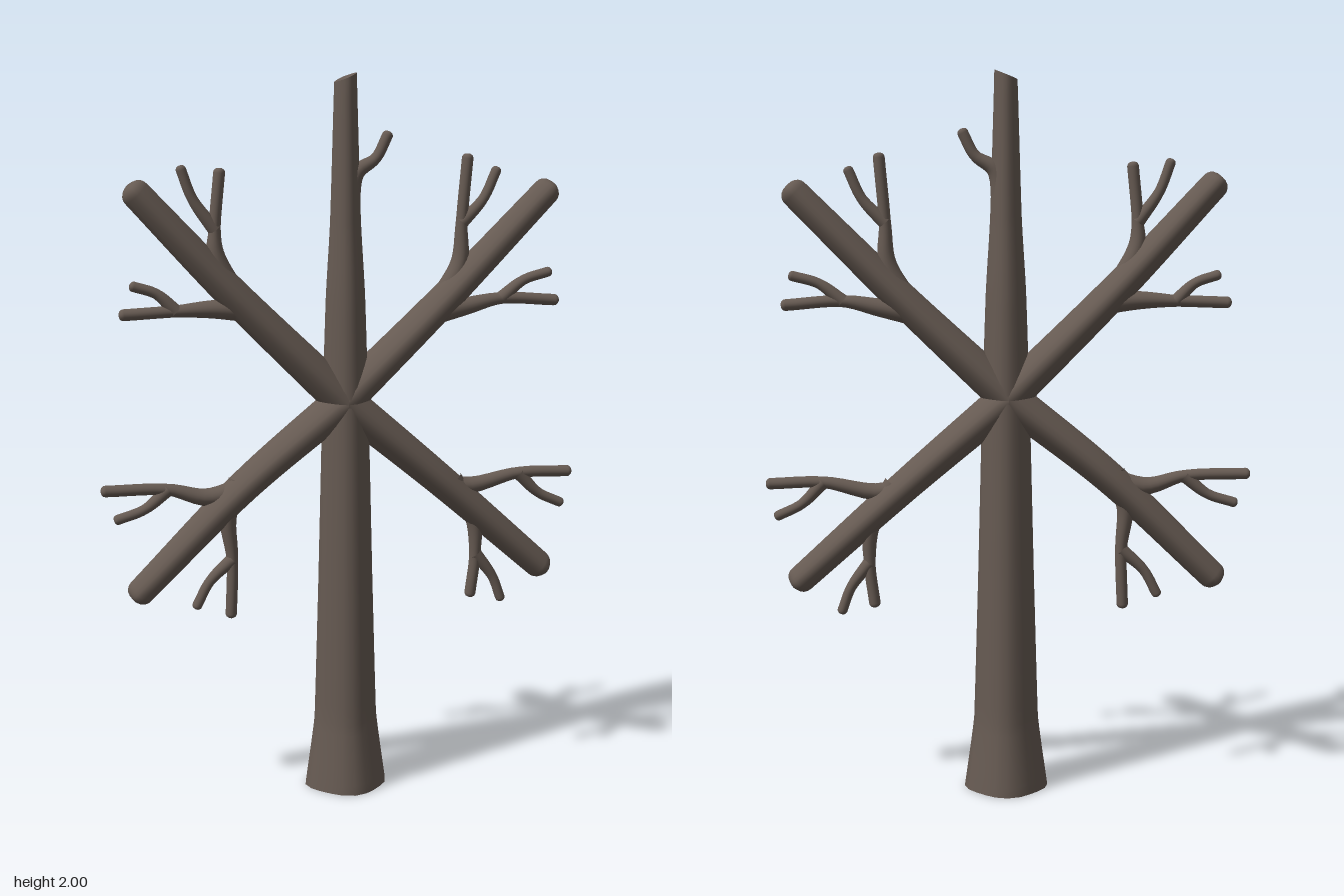
import * as THREE from 'three';

const SIDES = 20;
const HUB = [0, 1.11];

// Limb lofted along a curve in the XY plane.
// points: [x, y]; radii: [in-plane, depth] per point
function limbGeometry(points, radii, { dome = 0, corner = 0.05, slant = 0, flatEnds = false, steps = 24 }) {
  const curve = new THREE.CatmullRomCurve3(points.map(([x, y]) => new THREE.Vector3(x, y, 0)));
  const pos = [], index = [], rings = [];

  const addRing = (c, t, rn, rz, shear = 0) => {
    for (let j = 0; j < SIDES; j++) {
      const a = (j / SIDES) * Math.PI * 2;
      const k = 1 - corner * (1 - Math.cos(4 * a)); // softly squared section
      const u = Math.cos(a) * k * rn, w = Math.sin(a) * k * rz;
      pos.push(c.x + t.y * u, c.y - t.x * u + shear * u, -w);
    }
    return pos.length / 3 - SIDES;
  };
  const addFan = (c, start, flip) => {
    const m = pos.length / 3;
    pos.push(c.x, c.y, c.z);
    for (let j = 0; j < SIDES; j++) {
      const a = start + j, b = start + (j + 1) % SIDES;
      index.push(m, flip ? b : a, flip ? a : b);
    }
  };

  const last = radii.length - 1;
  const end = curve.getPoint(1), endT = curve.getTangent(1);
  const [en, ez] = radii[last];
  for (let i = 0; i <= steps; i++) {
    const s = i / steps, f = s * last;
    const k = Math.min(Math.floor(f), last - 1), m = f - k;
    const rn = THREE.MathUtils.lerp(radii[k][0], radii[k + 1][0], m);
    const rz = THREE.MathUtils.lerp(radii[k][1], radii[k + 1][1], m);
    rings.push(addRing(curve.getPoint(s), curve.getTangent(s), rn, rz, i === steps ? slant : 0));
  }
  // rounded tip
  if (dome) {
    for (let i = 1; i <= 4; i++) {
      const a = (i / 5) * Math.PI / 2;
      const c = end.clone().addScaledVector(endT, Math.sin(a) * dome);
      rings.push(addRing(c, endT, en * Math.cos(a) ** 0.8, ez * Math.cos(a) ** 0.6));
    }
    addFan(end.clone().addScaledVector(endT, dome), rings[rings.length - 1], false);
  }
  for (let i = 0; i < rings.length - 1; i++) {
    for (let j = 0; j < SIDES; j++) {
      const n = (j + 1) % SIDES;
      const a = rings[i] + j, b = rings[i] + n, c = rings[i + 1] + n, d = rings[i + 1] + j;
      index.push(a, b, c, a, c, d);
    }
  }
  // cut faces use their own vertices so the rim stays sharp
  if (flatEnds) {
    const start = curve.getPoint(0);
    addFan(start, addRing(start, curve.getTangent(0), ...radii[0]), true);
    addFan(end, addRing(end, endT, en, ez, slant), false);
  }
  const geo = new THREE.BufferGeometry();
  geo.setAttribute('position', new THREE.Float32BufferAttribute(pos, 3));
  geo.setIndex(index);
  geo.computeVertexNormals();
  return geo;
}

export function createModel() {
  const model = new THREE.Group();
  model.name = 'bareTree';
  const bark = new THREE.MeshStandardMaterial({ color: 0x665a52 });
  bark.name = 'bark';

  const add = (parent, name, geo) => {
    const mesh = new THREE.Mesh(geo, bark);
    mesh.name = name;
    parent.add(mesh);
  };

  // thin limb narrowing from r0 to r1, then even to its tip
  const addTwig = (parent, name, points, r0, r1) => {
    const radii = points.map((_, i) => {
      const r = THREE.MathUtils.lerp(r0, r1, Math.min(1, i / (points.length - 2)));
      return [r, r];
    });
    add(parent, name, limbGeometry(points, radii, { dome: r1 * 0.8, corner: 0.02, steps: 16 }));
  };

  // twig whose side prong leaves at the joint and bows away from the main tip
  const addForkedTwig = (parent, name, root, bend, joint, tip, prongTip) => {
    addTwig(parent, `${name}Stem`, [root, bend, joint, tip], 0.034, 0.016);
    const away = new THREE.Vector2(prongTip[0] - tip[0], prongTip[1] - tip[1]).setLength(0.014);
    const bow = [(joint[0] + prongTip[0]) / 2 + away.x, (joint[1] + prongTip[1]) / 2 + away.y];
    addTwig(parent, `${name}Prong`, [joint, bow, prongTip], 0.019, 0.014);
  };

  // main branch from the hub
  const addBranch = (name, mid, tip) => {
    const group = new THREE.Group();
    group.name = name;
    const radii = [[0.052, 0.066], [0.045, 0.057], [0.039, 0.041]];
    add(group, 'branch', limbGeometry([HUB, mid, tip], radii, { dome: 0.03 }));
    model.add(group);
    return group;
  };

  // trunk: flared foot, tapering to a slanted cut top
  const heights = [0, 0.2, 0.6, 1.0, 1.4, 1.6, 1.985];
  const widths = [0.117, 0.09, 0.078, 0.068, 0.055, 0.043, 0.031];
  add(model, 'trunk', limbGeometry(
    heights.map((y) => [0.006, y]),
    widths.map((r) => [r, r]),
    { slant: 0.4, flatEnds: true, steps: 42 },
  ));
  addTwig(model, 'trunkTwig', [[0.015, 1.62], [0.035, 1.73], [0.09, 1.77], [0.122, 1.83]], 0.03, 0.015);

  const upperRight = addBranch('upperRightBranch', [-0.31, 1.42], [-0.56, 1.69]);
  addForkedTwig(upperRight, 'upTwig', [-0.3, 1.41], [-0.35, 1.52], [-0.352, 1.59], [-0.338, 1.74], [-0.44, 1.75]);
  addForkedTwig(upperRight, 'sideTwig', [-0.25, 1.37], [-0.36, 1.377], [-0.46, 1.375], [-0.6, 1.37], [-0.572, 1.445]);

  const upperLeft = addBranch('upperLeftBranch', [0.28, 1.375], [0.575, 1.67]);
  addForkedTwig(upperLeft, 'upTwig', [0.28, 1.38], [0.328, 1.48], [0.333, 1.59], [0.348, 1.765], [0.43, 1.73]);
  addForkedTwig(upperLeft, 'sideTwig', [0.24, 1.34], [0.35, 1.36], [0.45, 1.378], [0.605, 1.368], [0.585, 1.447]);

  const lowerRight = addBranch('lowerRightBranch', [-0.28, 0.885], [-0.57, 0.605]);
  addForkedTwig(lowerRight, 'sideTwig', [-0.25, 0.89], [-0.38, 0.86], [-0.49, 0.888], [-0.66, 0.893], [-0.628, 0.812]);
  addForkedTwig(lowerRight, 'downTwig', [-0.29, 0.9], [-0.325, 0.81], [-0.315, 0.68], [-0.32, 0.525], [-0.415, 0.555]);

  const lowerLeft = addBranch('lowerLeftBranch', [0.28, 0.87], [0.575, 0.605]);
  addForkedTwig(lowerLeft, 'sideTwig', [0.24, 0.89], [0.35, 0.85], [0.51, 0.878], [0.655, 0.875], [0.635, 0.785]);
  addForkedTwig(lowerLeft, 'downTwig', [0.31, 0.87], [0.375, 0.77], [0.385, 0.65], [0.372, 0.535], [0.462, 0.515]);

  return model;
}
